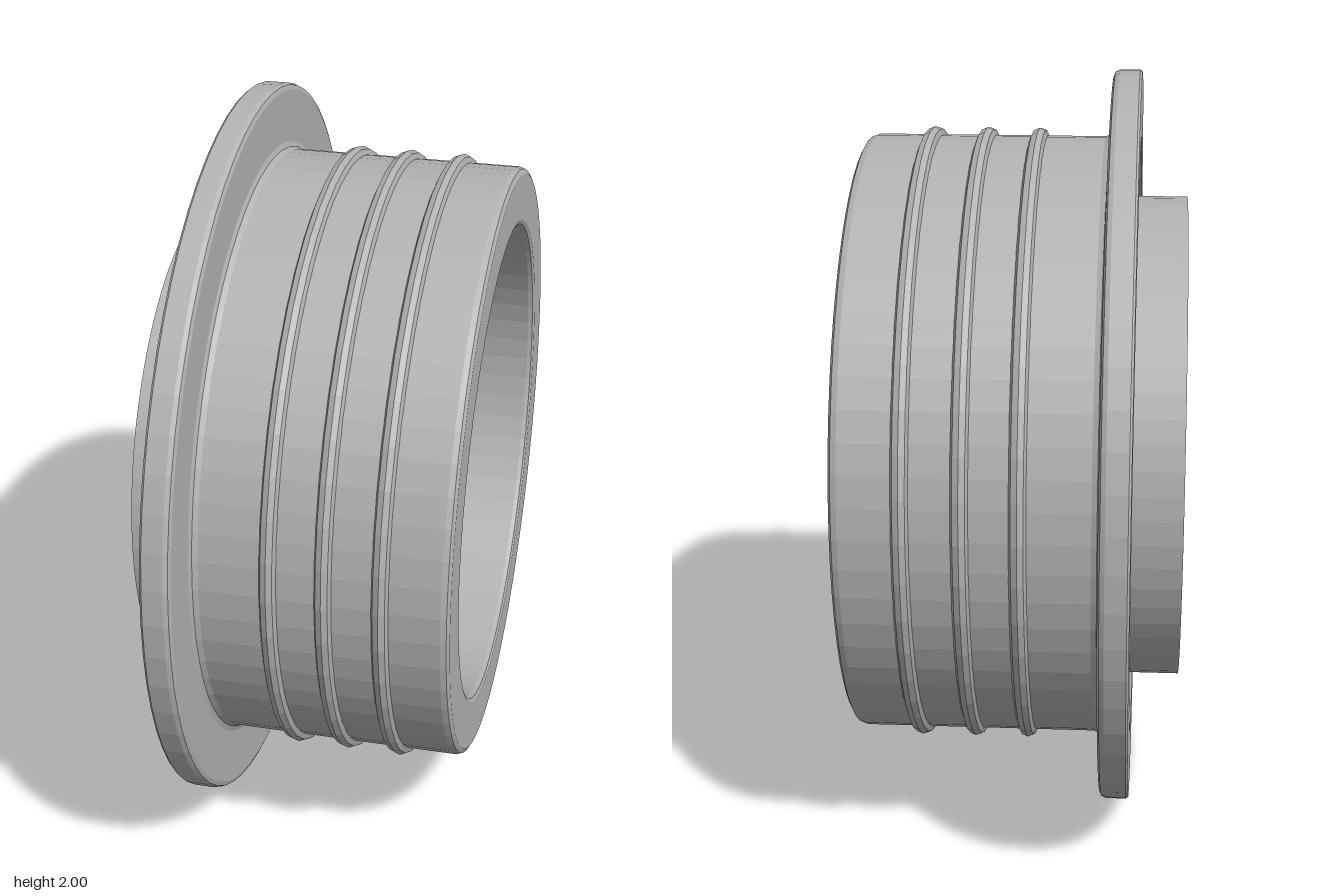
import * as THREE from 'three';

const SEGMENTS = 64;

export function createModel() {
  const grey = new THREE.MeshStandardMaterial({ color: 0xb2b2b2, flatShading: true, side: THREE.DoubleSide });
  grey.name = 'plain grey';

  const model = new THREE.Group();
  model.name = 'flangedSleeve';

  // Turned part: profile of [radius, distance along the axis], axis along z
  const turned = (name, profile) => {
    const points = profile.map(([r, d]) => new THREE.Vector2(r, d));
    const geometry = new THREE.LatheGeometry(points, SEGMENTS).rotateX(Math.PI / 2);
    const mesh = new THREE.Mesh(geometry, grey);
    mesh.name = name;
    model.add(mesh);
  };

  // Wide rear flange with a softened front edge and a small fillet to the wall
  turned('flange', [
    [0.82, 0.077], [0.82, 0], [0.995, 0], [1, 0.006], [1, 0.06],
    [0.995, 0.072], [0.983, 0.077], [0.84, 0.077], [0.826, 0.083], [0.82, 0.097],
  ]);

  // Outer wall, rounded at the front
  turned('outerWall', [[0.82, 0.077], [0.82, 0.715], [0.815, 0.73], [0.802, 0.737]]);

  // Flat front rim between the two walls
  turned('frontRim', [[0.802, 0.737], [0.675, 0.737]]);

  // Thin inner tube that sticks out behind the flange
  turned('innerTube', [[0.675, 0.737], [0.664, 0.732], [0.659, 0.72], [0.659, -0.128]]);

  // Three sealing ribs around the wall
  for (const distance of [0.276, 0.417, 0.562]) {
    const rib = new THREE.Mesh(new THREE.TorusGeometry(0.82, 0.022, 8, 48), grey);
    rib.name = 'sealingRib';
    rib.position.z = distance;
    model.add(rib);
  }

  // Turn the sleeve towards its left and stand it on the ground
  model.rotation.y = THREE.MathUtils.degToRad(27.14);
  model.position.set(-0.0875, 1, -0.285);

  const root = new THREE.Group();
  root.name = 'pipeFitting';
  root.add(model);
  return root;
}
